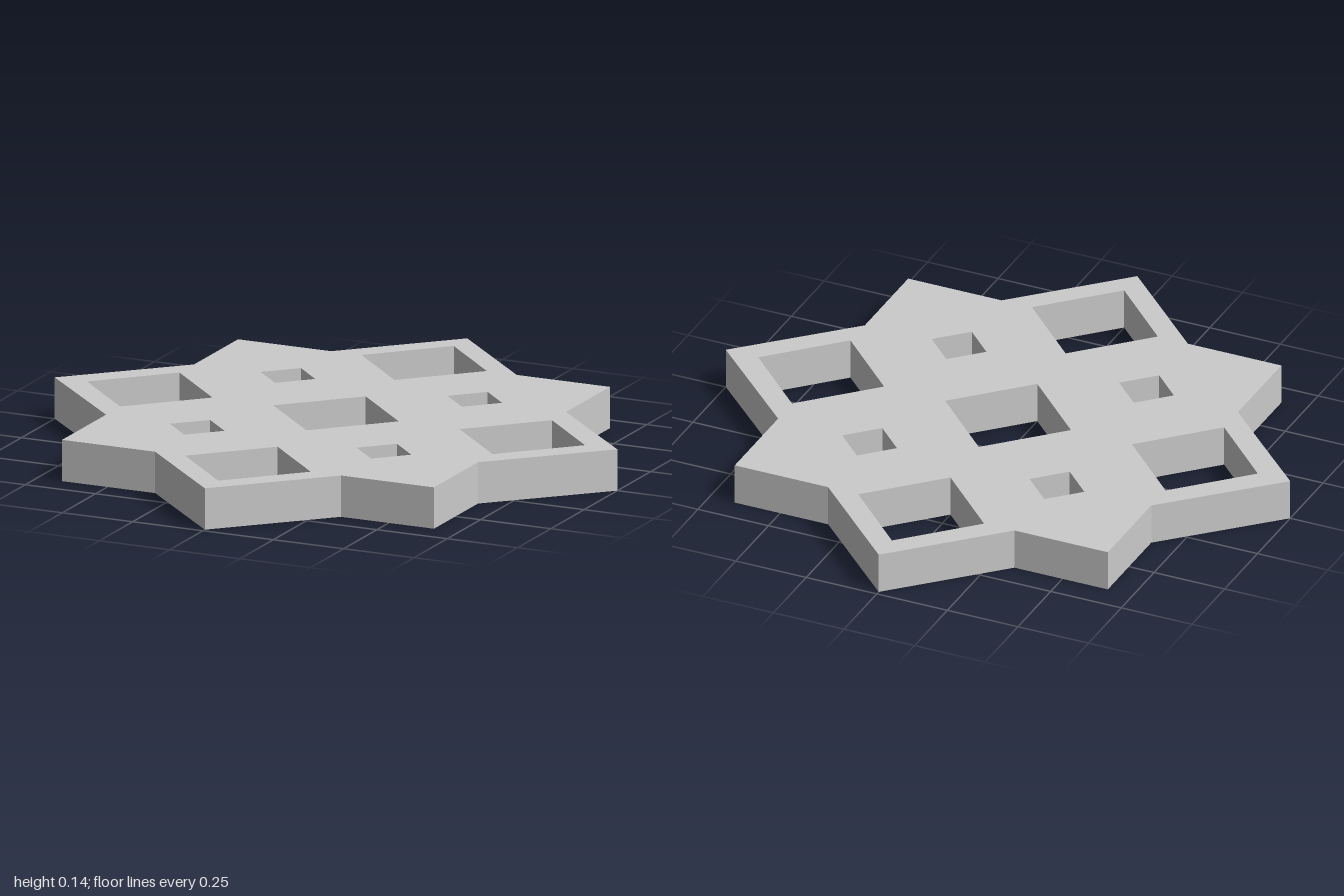
import * as THREE from 'three';

const HEIGHT = 0.138;

// Diamond-shaped cut-out with half-diagonal r
function diamond(x, y, r) {
  return new THREE.Path([[r, 0], [0, -r], [-r, 0], [0, r]].map(([dx, dy]) => new THREE.Vector2(x + dx, y + dy)));
}

export function createModel() {
  const group = new THREE.Group();
  group.name = 'starTile';

  // Eight-pointed outline: a tip, a notch, a square corner and a notch per quarter
  const tipX = 1, tipZ = 0.986, corner = 0.661, notch = 0.33;
  const outline = new THREE.Shape([
    [tipX, 0], [corner, notch], [corner, corner], [notch, corner],
    [0, tipZ], [-notch, corner], [-corner, corner], [-corner, notch],
    [-tipX, 0], [-corner, -notch], [-corner, -corner], [-notch, -corner],
    [0, -tipZ], [notch, -corner], [corner, -corner], [corner, -notch],
  ].map(([x, y]) => new THREE.Vector2(x, y)));

  // Large windows in the middle and in each tip
  for (const [x, y] of [[0, 0], [1, 0], [-1, 0], [0, 1], [0, -1]]) {
    outline.holes.push(diamond(x * 0.662, y * 0.662, 0.223));
  }
  // Small windows on the diagonals
  for (const x of [-1, 1]) {
    for (const y of [-1, 1]) outline.holes.push(diamond(x * 0.332, y * 0.341, 0.097));
  }

  // Flat plate laid on the ground
  const geometry = new THREE.ExtrudeGeometry(outline, { depth: HEIGHT, bevelEnabled: false });
  geometry.rotateX(-Math.PI / 2);
  const plate = new THREE.Mesh(geometry, new THREE.MeshStandardMaterial({ color: 0xcccccc, flatShading: true }));
  plate.name = 'piercedStarPlate';
  group.add(plate);
  return group;
}
